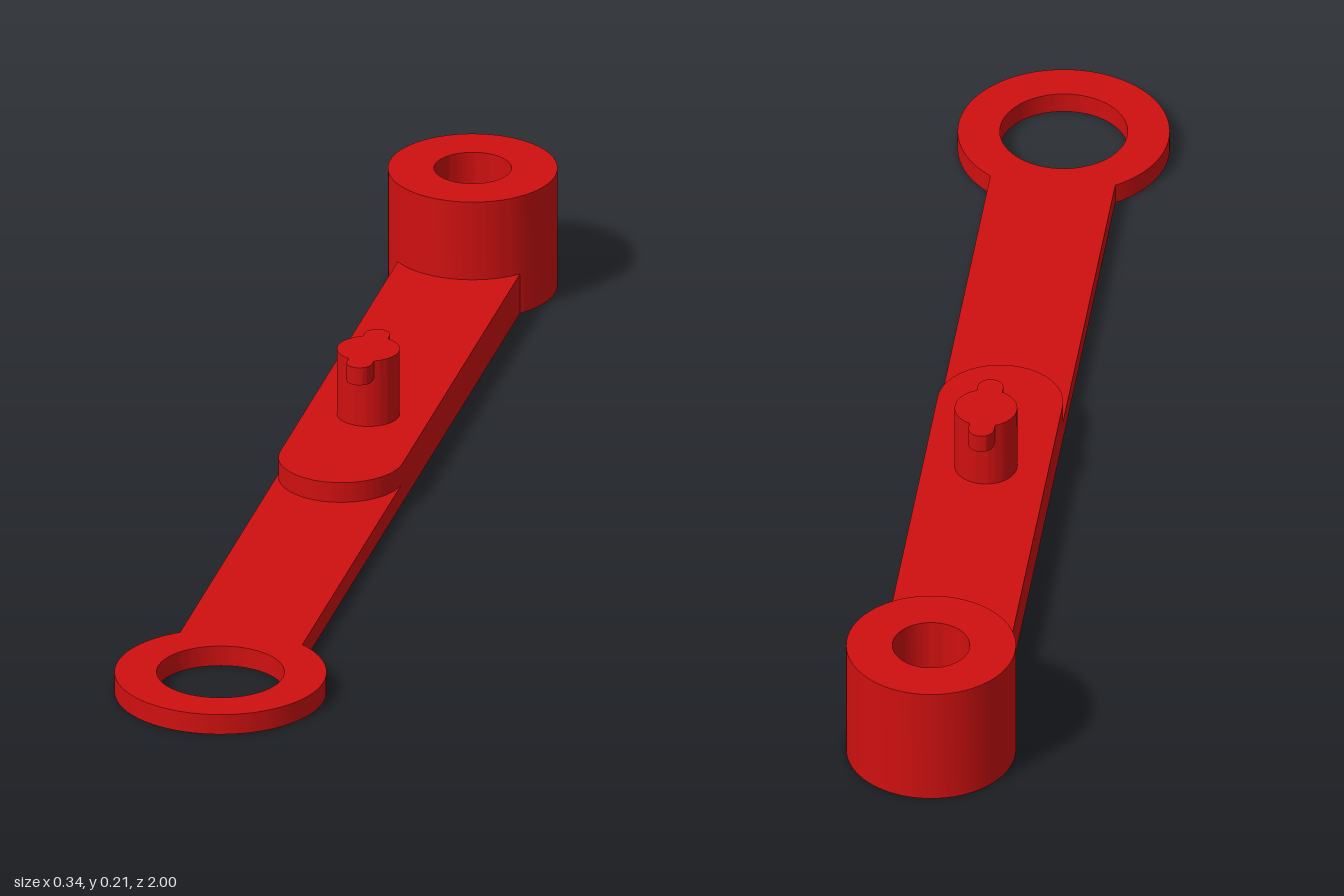
import * as THREE from 'three';
import { toCreasedNormals } from 'three/addons/utils/BufferGeometryUtils.js';

const PI = Math.PI;
const W = 0.1025; // half width of the arm
const RING = { s: -0.8275, r: 0.1725, hole: 0.104 };
const BOSS = { s: 0.862, r: 0.138, hole: 0.063 };
const TIP = -0.0175; // centre of the thick arm's rounded end
const PEG = { s: 0.163, r: 0.051 };

export function createModel() {
  const group = new THREE.Group();
  const red = new THREE.MeshStandardMaterial({ color: 0xd01010 });

  // Plan shapes are drawn in (x, -z) and raised from y0 to y1
  function addPart(name, shape, y0, y1) {
    const geo = new THREE.ExtrudeGeometry(shape, { depth: y1 - y0, bevelEnabled: false, curveSegments: 40 });
    geo.rotateX(-PI / 2);
    geo.translate(0, y0, 0);
    const mesh = new THREE.Mesh(toCreasedNormals(geo, 0.5), red);
    mesh.name = name;
    group.add(mesh);
  }
  function disc(s, r) {
    return new THREE.Shape().absarc(0, s, r, 0, 2 * PI, false);
  }
  function addHole(shape, s, r) {
    shape.holes.push(new THREE.Path().absarc(0, s, r, 0, 2 * PI, true));
  }

  // Thin arm ending in the flat ring
  const a = Math.acos(W / RING.r);
  const thin = new THREE.Shape();
  thin.absarc(0, TIP, W, 0, -PI, true);
  thin.absarc(0, RING.s, RING.r, PI - a, 2 * PI + a, false);
  addHole(thin, RING.s, RING.hole);
  addPart('thinArmWithRing', thin, 0, 0.035);

  // Thick arm: rounded front end, hollowed to meet the boss
  const b = Math.acos(W / BOSS.r);
  const thick = new THREE.Shape();
  thick.absarc(0, TIP, W, PI, 2 * PI, false);
  thick.absarc(0, BOSS.s, BOSS.r, -b, b - PI, true);
  addPart('thickArm', thick, 0, 0.07);

  // Tall boss with a through hole
  const boss = disc(BOSS.s, BOSS.r);
  addHole(boss, BOSS.s, BOSS.hole);
  addPart('boss', boss, 0, 0.208);

  // Peg shaft
  addPart('pegShaft', disc(PEG.s, PEG.r), 0.07, 0.155);

  // Peg head with two rounded locking tabs
  const t = 0.021, reach = 0.059;
  const c = Math.acos(t / PEG.r);
  const head = new THREE.Shape();
  head.absarc(0, PEG.s, PEG.r, -c, c, false);
  head.absarc(0, PEG.s + reach, t, 0, PI, false);
  head.absarc(0, PEG.s, PEG.r, PI - c, PI + c, false);
  head.absarc(0, PEG.s - reach, t, PI, 2 * PI, false);
  addPart('pegHead', head, 0.155, 0.186);

  return group;
}
